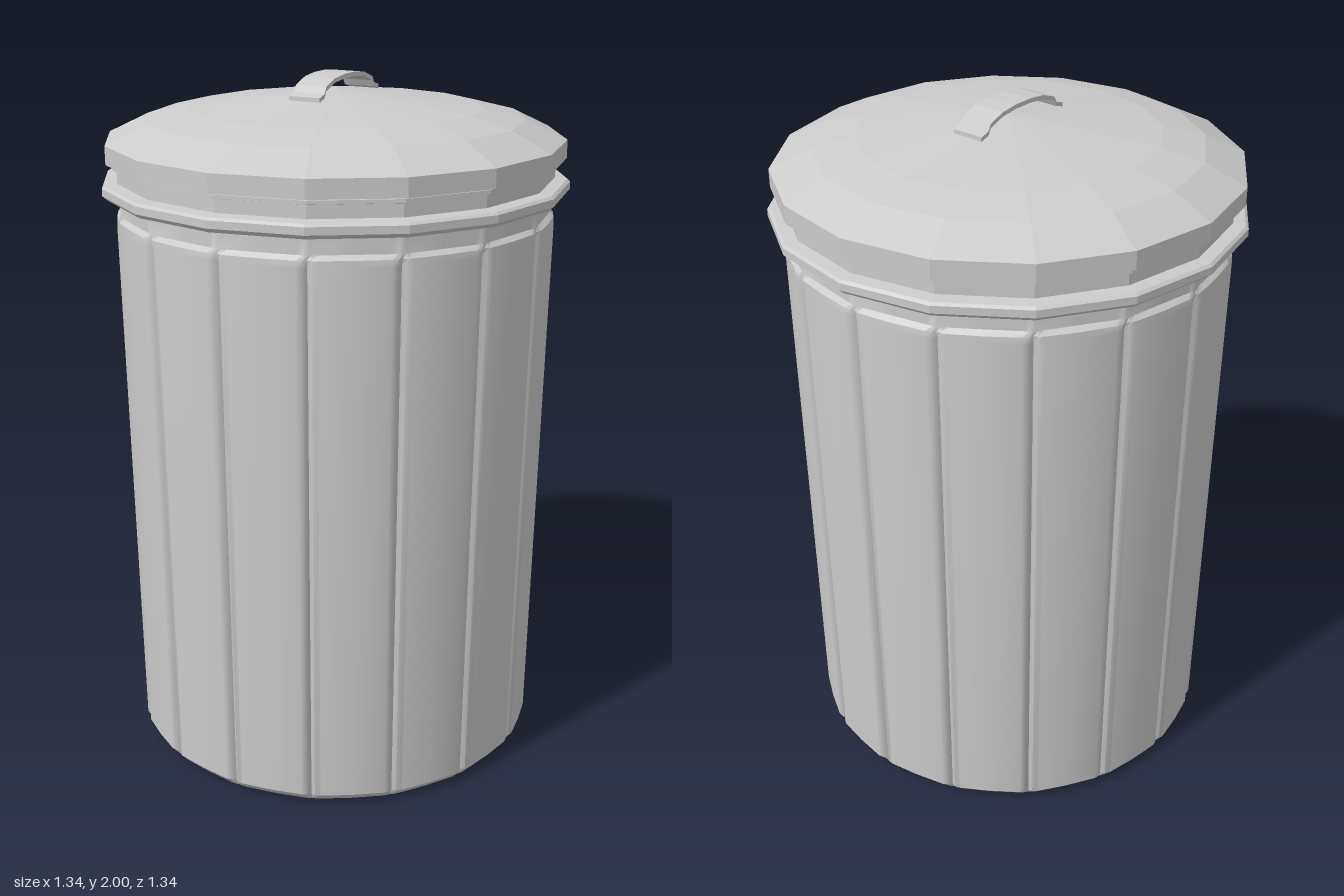
import * as THREE from 'three';
import { toCreasedNormals } from 'three/addons/utils/BufferGeometryUtils.js';

const SIDES = 16;
const STEP = (Math.PI * 2) / SIDES;
const smooth = new THREE.MeshStandardMaterial({ color: 0xcccccc });
const faceted = new THREE.MeshStandardMaterial({ color: 0xcccccc, flatShading: true });

function part(name, geometry, material) {
  const mesh = new THREE.Mesh(geometry, material);
  mesh.name = name;
  return mesh;
}

// Sixteen-sided turned part from [radius, y] pairs
function turned(name, profile) {
  const points = profile.map(([r, y]) => new THREE.Vector2(r, y));
  return part(name, new THREE.LatheGeometry(points, SIDES), faceted);
}

// Wall of sixteen panels separated by narrow grooves; rows are [radius, y, groove depth]
function panelledWall(rows) {
  // Samples across one panel: [angle, share of groove depth]
  const samples = [[0, 1], [0.018, 0.3], [0.045, 0], [STEP / 2, 0], [STEP - 0.045, 0], [STEP - 0.018, 0.3]];
  const columns = [];
  for (let k = 0; k < SIDES; k++) {
    for (const [a, g] of samples) columns.push([k * STEP + a, g, a]);
  }
  const n = columns.length;
  const positions = [];
  const index = [];
  rows.forEach(([r, y, depth], j) => {
    columns.forEach(([angle, g, a], i) => {
      // Halfway between a flat side and a true arc where grooved
      const flat = Math.cos(STEP / 2) / Math.cos(a - STEP / 2);
      const radius = r * (depth > 0 ? (flat + 1) / 2 : flat) - depth * g;
      positions.push(Math.sin(angle) * radius, y, Math.cos(angle) * radius);
      if (j === 0) return;
      const p = (j - 1) * n + i, q = (j - 1) * n + ((i + 1) % n);
      index.push(p, q, q + n, p, q + n, p + n);
    });
  });
  const geometry = new THREE.BufferGeometry();
  geometry.setAttribute('position', new THREE.Float32BufferAttribute(positions, 3));
  geometry.setIndex(index);
  return toCreasedNormals(geometry, 0.7);
}

// Strap handle: constant-thickness band bent along z, extruded across x
function handleGeometry() {
  const half = [[0.172, 1.938], [0.145, 1.946], [0.135, 1.964], [0.085, 1.982], [0.03, 1.988]];
  const lower = [...half, ...half.slice().reverse().map(([z, y]) => [-z, y])];
  const upper = lower.slice().reverse().map(([z, y]) => [z, y + 0.012]);
  const shape = new THREE.Shape([...lower, ...upper].map(([z, y]) => new THREE.Vector2(z, y)));
  const geometry = new THREE.ExtrudeGeometry(shape, { depth: 0.096, bevelEnabled: false });
  geometry.translate(0, 0, -0.048);
  geometry.rotateY(-Math.PI / 2);
  return geometry;
}

export function createModel() {
  const model = new THREE.Group();
  model.name = 'trashCan';

  // Outer wall with chamfered foot and rounded shoulder
  model.add(part('body', panelledWall([
    [0.555, 0, 0], [0.585, 0.01, 0.004], [0.608, 0.035, 0.016],
    [0.63, 1.59, 0.016], [0.629, 1.61, 0.008], [0.62, 1.622, 0], [0.62, 1.68, 0],
  ]), smooth));

  // Inside wall and the foot ring, open underneath
  model.add(turned('innerWall', [[0.58, 1.76], [0.5, 0.0], [0.555, 0]]));

  // Rolled band and neck at the mouth
  model.add(turned('rim', [
    [0.615, 1.672], [0.655, 1.672], [0.668, 1.684], [0.668, 1.705], [0.66, 1.712], [0.625, 1.716],
    [0.625, 1.752], [0.638, 1.755], [0.638, 1.765], [0.58, 1.765],
  ]));

  // Domed lid with closed underside
  model.add(turned('lid', [
    [0, 1.935], [0.42, 1.885], [0.53, 1.855], [0.62, 1.81], [0.625, 1.77],
    [0.655, 1.77], [0.655, 1.822], [0.54, 1.877], [0.42, 1.906], [0, 1.957],
  ]));

  model.add(part('handle', handleGeometry(), faceted));
  return model;
}
